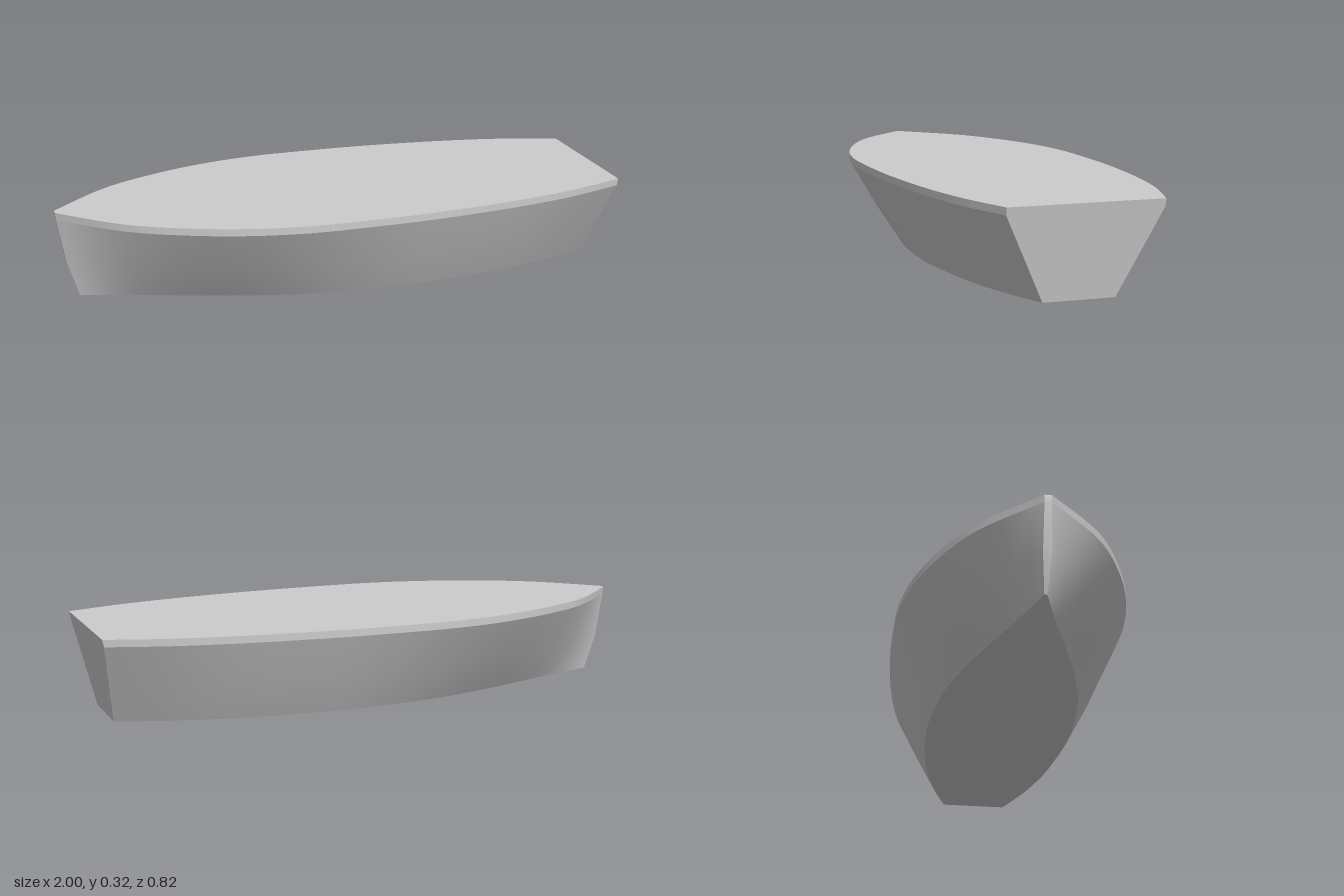
import * as THREE from 'three';

const STEPS = 60;

// Half-breadths of the hull from bow (-x) to stern (+x)
const RIM = [0.012, 0.195, 0.302, 0.37, 0.404, 0.409, 0.405, 0.39, 0.365, 0.325, 0.262];
const CHINE = [0.005, 0.065, 0.13, 0.19, 0.235, 0.257, 0.265, 0.252, 0.228, 0.185, 0.122];

// Smooth outline through evenly spaced half-breadths, at height y on the +z side
function outline(widths, x0, x1, y) {
  const n = widths.length - 1;
  const curve = new THREE.SplineCurve(widths.map((w, i) => new THREE.Vector2(x0 + (x1 - x0) * i / n, w)));
  return curve.getPoints(STEPS).map(p => new THREE.Vector3(p.x, y, p.y));
}

const mirror = row => row.map(p => new THREE.Vector3(p.x, p.y, -p.z));

// Surface through rows of points; it faces (along row) x (row to row)
function skin(name, rows, material) {
  const n = rows[0].length, index = [];
  for (let r = 0; r < rows.length - 1; r++) {
    for (let i = 0; i < n - 1; i++) {
      const a = r * n + i, b = a + 1, c = a + n, d = c + 1;
      index.push(a, b, d, a, d, c);
    }
  }
  const geometry = new THREE.BufferGeometry().setFromPoints(rows.flat());
  geometry.setIndex(index);
  geometry.computeVertexNormals();
  const mesh = new THREE.Mesh(geometry, material);
  mesh.name = name;
  return mesh;
}

export function createModel() {
  const group = new THREE.Group();
  group.name = 'boatHull';
  const material = new THREE.MeshStandardMaterial({ color: 0xcccccc });

  const chine = outline(CHINE, -0.93, 0.94, 0.012);
  const rimLow = outline(RIM, -0.998, 0.995, 0.3);
  const rimTop = outline(RIM, -1, 1, 0.325);

  // Slight outward swell halfway up the side, fading out at the transom
  const middle = chine.map((p, i) => {
    const q = p.clone().lerp(rimLow[i], 0.45);
    const fade = 1 - i / STEPS;
    q.x -= 0.01 * fade * fade;
    q.z += 0.006 * Math.min(1, 4 * fade);
    return q;
  });

  // Shallow V bottom
  const keel = chine.map((p, i) => new THREE.Vector3(p.x, 0.012 - 0.012 * Math.min(1, 3 * Math.sin(Math.PI * i / STEPS)), 0));

  const wall = [chine, middle, rimLow];
  const rim = [rimLow, rimTop];
  const flip = rows => rows.map(mirror).reverse();

  group.add(skin('leftSide' , flip(wall), material));
  group.add(skin('rightSide', wall, material));
  group.children[0].name = 'backSide';
  group.children[1].name = 'frontSide';
  group.add(skin('frontRim', rim, material));
  group.add(skin('backRim', flip(rim), material));
  group.add(skin('bottom', [mirror(chine), keel, chine], material));
  group.add(skin('deck', [rimTop, mirror(rimTop)], material));

  // Flat transom at the stern and narrow stem at the bow
  const section = i => [chine, middle, rimLow, rimTop].map(row => row[i]);
  group.add(skin('transom', [mirror(section(STEPS)), section(STEPS)], material));
  group.add(skin('stem', [section(0), mirror(section(0))], material));

  return group;
}
